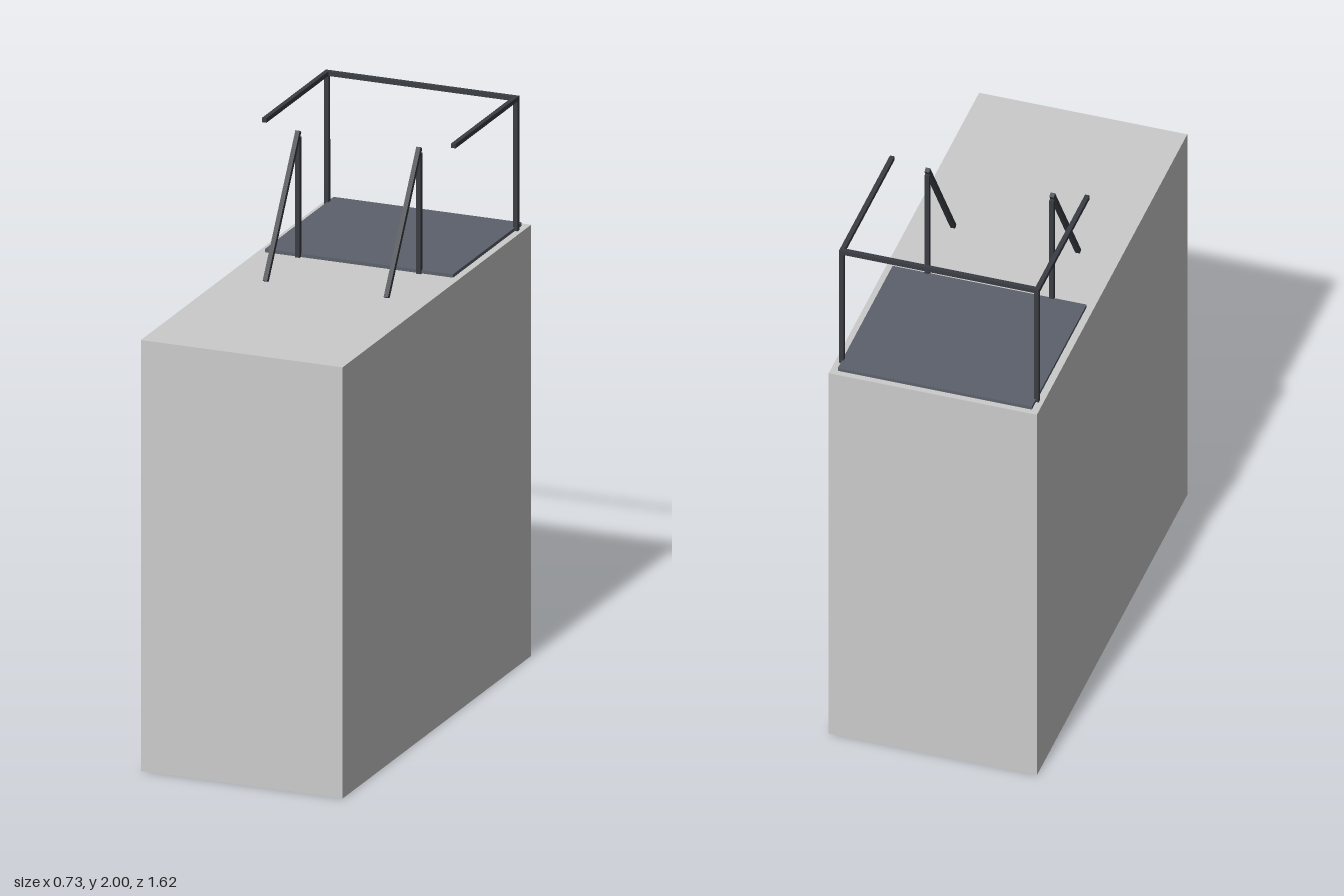
import * as THREE from 'three';

export function createModel() {
  const model = new THREE.Group();
  const grey = new THREE.MeshStandardMaterial({ color: 0xcccccc });
  const deckMat = new THREE.MeshStandardMaterial({ color: 0x5c616b });
  const railMat = new THREE.MeshStandardMaterial({ color: 0x3a3d43 });
  const T = 0.016; // bar thickness

  const box = (name, w, h, d, x, y, z, mat) => {
    const mesh = new THREE.Mesh(new THREE.BoxGeometry(w, h, d), mat);
    mesh.name = name;
    mesh.position.set(x, y, z);
    model.add(mesh);
    return mesh;
  };

  // Square bar between two points
  const bar = (name, a, b) => {
    const start = new THREE.Vector3(...a), end = new THREE.Vector3(...b);
    const mid = start.clone().add(end).multiplyScalar(0.5);
    const mesh = box(name, T, T, start.distanceTo(end), mid.x, mid.y, mid.z, railMat);
    mesh.lookAt(end);
  };

  // Main block and the thin deck on its rear half
  box('body', 0.734, 1.525, 1.62, 0, 0.7625, 0, grey);
  box('deck', 0.684, 0.012, 0.59, 0, 1.531, -0.493, deckMat);

  // Rear guard rail
  const floor = 1.525, top = 1.992, railX = 0.344, backZ = -0.736, frontZ = -0.196;
  bar('backRail', [-railX - T / 2, top, backZ], [railX + T / 2, top, backZ]);

  for (const [side, s] of [['left', 1], ['right', -1]]) {
    bar(side + 'TopRail', [s * railX, top, backZ], [s * railX, top, frontZ]);
    bar(side + 'BackPost', [s * railX, floor, backZ], [s * railX, top, backZ]);
    // Front post with its sloping brace
    bar(side + 'FrontPost', [s * 0.22, floor, frontZ], [s * 0.22, 1.95, frontZ]);
    bar(side + 'Brace', [s * 0.22, 1.526, 0.085], [s * 0.22, 1.97, -0.196]);
  }
  return model;
}
